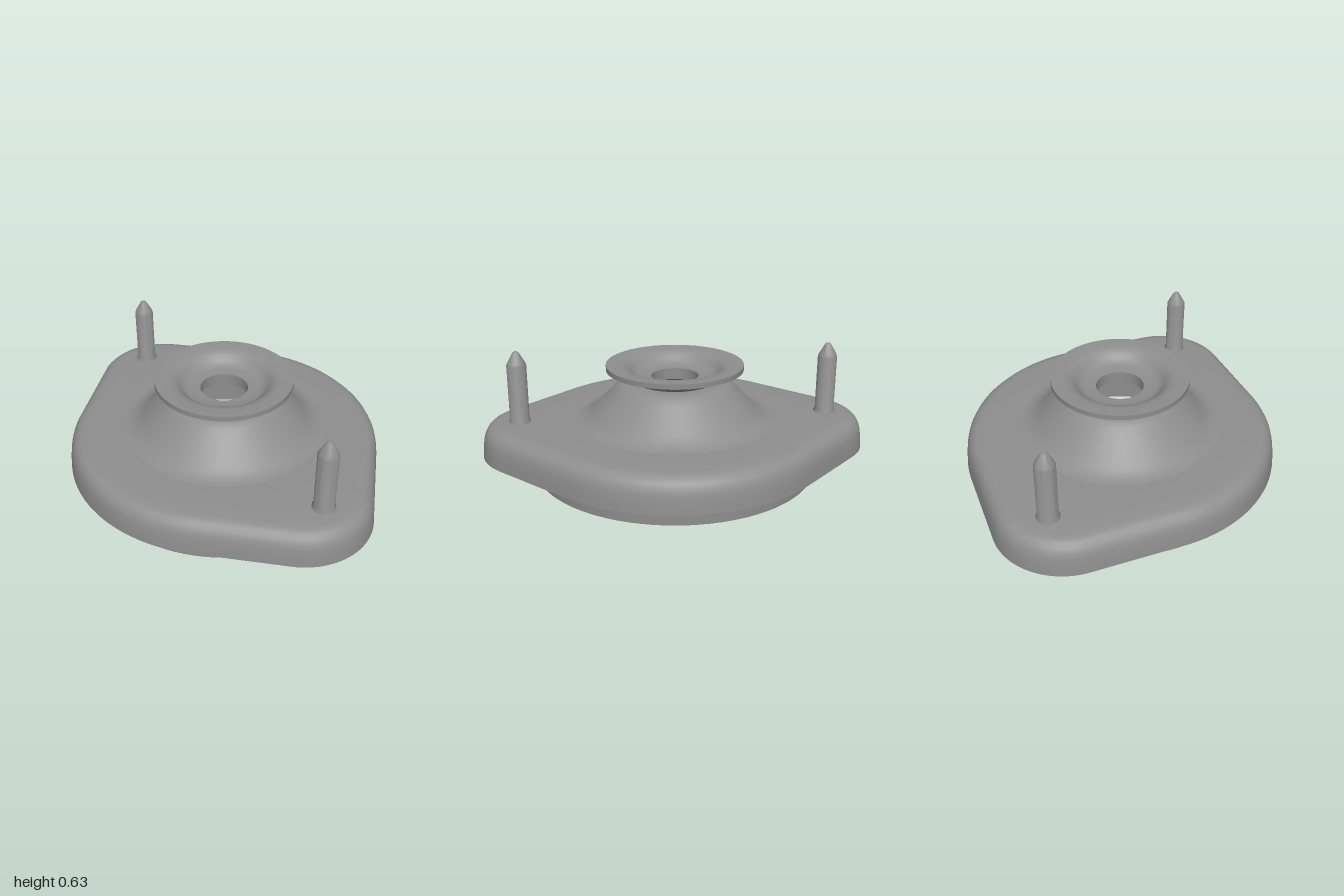
import * as THREE from 'three';
import { toCreasedNormals } from 'three/addons/utils/BufferGeometryUtils.js';

const SEG = 100;

// Surface of revolution from [radius, y] pairs, with sharp edges kept
function lathe(points, segments = SEG) {
  return new THREE.LatheGeometry(points.map(([r, y]) => new THREE.Vector2(r, y)), segments);
}

// Rounded-diamond outline point for a given normal angle, moved inwards by inset
function outline(angle, inset) {
  const s = Math.sin(angle), c = Math.cos(angle);
  if (Math.abs(c) > Math.abs(s)) {
    return [(0.36 - inset) * s, Math.sign(c) * 0.64 + (0.36 - inset) * c];
  }
  return [Math.sign(s) * 0.008 + (0.807 - inset) * s, (0.807 - inset) * c];
}

// Hollow flange: revolved profile whose middle rows are moved onto the outline
function flangeGeometry() {
  const rows = [ // [inset from outline, y]
    [0.13, 0.235], [0.09, 0.233], [0.06, 0.222], [0.04, 0.2], [0.028, 0.17], [0.02, 0.09],
    [0, 0.09], [0.004, 0.14], [0.01, 0.18], [0.017, 0.205], [0.03, 0.228],
    [0.048, 0.245], [0.07, 0.254], [0.1, 0.258],
  ];
  const profile = [[0.6, 0.235], ...rows, [0.5, 0.258]];
  const geo = lathe(profile);
  const pos = geo.attributes.position;
  for (let k = 0; k < pos.count; k++) {
    const j = k % profile.length;
    if (j === 0 || j === profile.length - 1) continue;
    const i = Math.floor(k / profile.length) % SEG;
    const [x, z] = outline((i / SEG) * Math.PI * 2, profile[j][0]);
    pos.setX(k, x);
    pos.setZ(k, z);
  }
  return geo;
}

export function createModel() {
  const group = new THREE.Group();
  const steel = new THREE.MeshStandardMaterial({ color: 0x8e8e8e });
  steel.name = 'grey steel';

  const add = (name, geo, z = 0) => {
    const mesh = new THREE.Mesh(toCreasedNormals(geo, 0.6), steel);
    mesh.name = name;
    mesh.position.z = z;
    group.add(mesh);
  };

  add('flange', flangeGeometry());

  // Stepped ring below the flange
  add('baseRing', lathe([
    [0.59, 0], [0.735, 0], [0.735, 0.245], [0.46, 0.245], [0.46, 0.12], [0.59, 0.12], [0.59, 0],
  ]));

  // Raised conical shell with a central bore
  add('dome', lathe([
    [0.53, 0.257], [0.5, 0.261], [0.475, 0.27], [0.45, 0.285], [0.42, 0.312], [0.32, 0.415],
    [0.3, 0.434], [0.28, 0.448], [0.262, 0.454], [0.24, 0.456], [0.122, 0.456],
    [0.122, 0.42], [0.23, 0.42], [0.255, 0.412], [0.28, 0.396], [0.4, 0.275], [0.43, 0.25], [0.47, 0.235],
  ]));

  // Dished washer seated on the dome
  add('topDish', lathe([
    [0.122, 0.45], [0.2, 0.455], [0.22, 0.463], [0.235, 0.478], [0.25, 0.497], [0.268, 0.51],
    [0.295, 0.517], [0.355, 0.519], [0.355, 0.545], [0.29, 0.543], [0.262, 0.538], [0.24, 0.525],
    [0.222, 0.505], [0.205, 0.49], [0.185, 0.482], [0.122, 0.48], [0.122, 0.45],
  ]));

  // Pointed mounting studs at both tips
  for (const side of [1, -1]) {
    add(side > 0 ? 'frontStud' : 'backStud', lathe([
      [0.057, 0.25], [0.057, 0.262], [0.05, 0.275], [0.05, 0.56], [0.045, 0.572],
      [0.016, 0.624], [0.009, 0.63], [0, 0.632],
    ], 32), side * 0.805);
  }
  return group;
}
